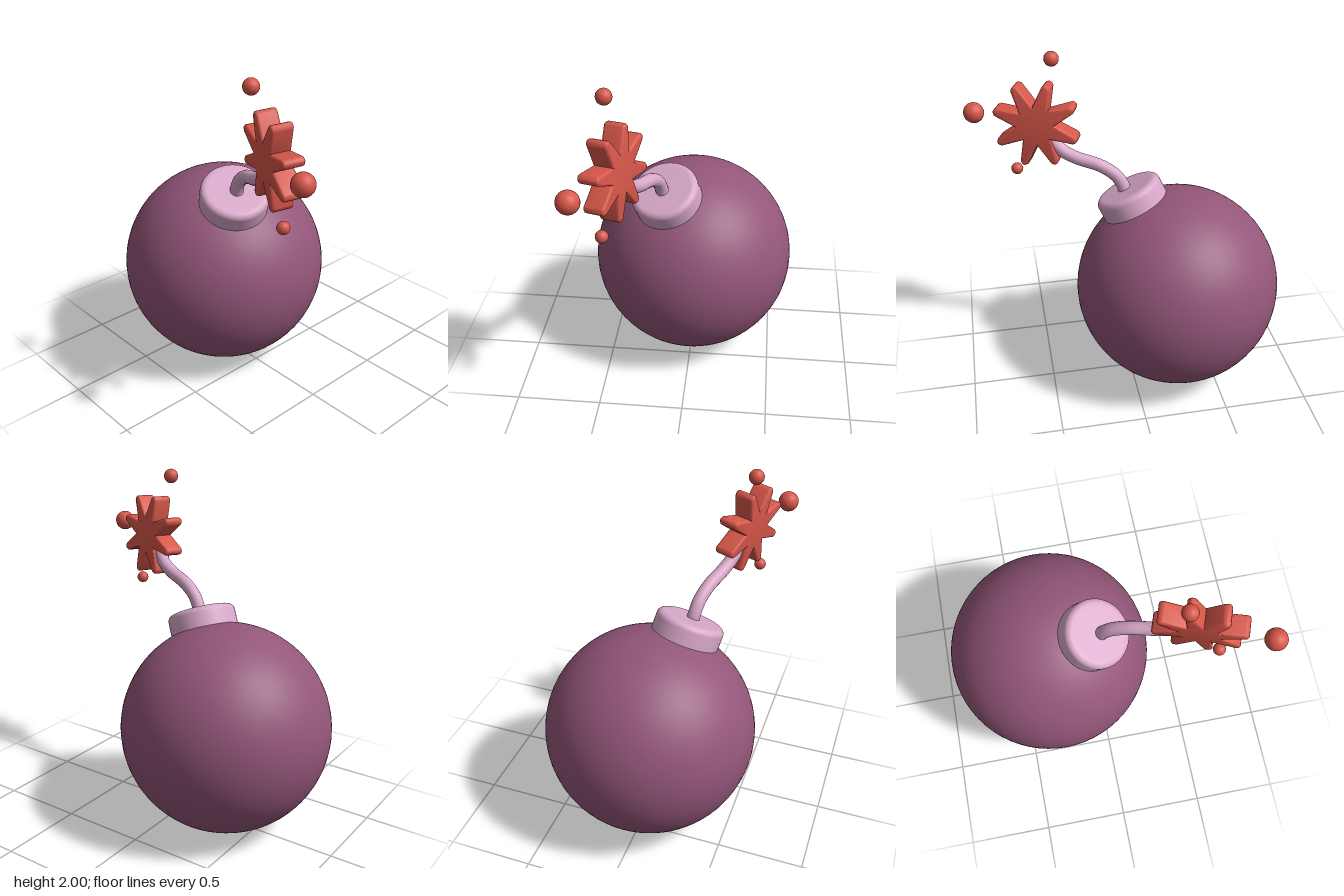
import * as THREE from 'three';
import { toCreasedNormals } from 'three/addons/utils/BufferGeometryUtils.js';

const plum = new THREE.MeshStandardMaterial({ name: 'plum', color: 0x935679 });
const pink = new THREE.MeshStandardMaterial({ name: 'pink', color: 0xd9a8c9 });
const red = new THREE.MeshStandardMaterial({ name: 'red', color: 0xd8574a });

function addPart(group, name, geometry, material, position = [0, 0, 0]) {
  const mesh = new THREE.Mesh(geometry, material);
  mesh.name = name;
  mesh.position.set(...position);
  group.add(mesh);
  return mesh;
}

// Eight blunt, rounded rays around a narrow core
function burstGeometry() {
  const rays = 8, outer = 0.25, inner = 0.115, halfTip = 0.1, depth = 0.12, bevel = 0.014;
  const at = (r, a) => [r * Math.cos(a), r * Math.sin(a)];
  const shape = new THREE.Shape();
  for (let i = 0; i < rays; i++) {
    const a = 0.305 + (i / rays) * Math.PI * 2;
    const notch = at(inner, a - Math.PI / rays);
    if (i === 0) shape.moveTo(...notch);
    else shape.lineTo(...notch);
    shape.lineTo(...at(outer - 0.012, a - halfTip));
    shape.quadraticCurveTo(...at(outer + 0.02, a), ...at(outer - 0.012, a + halfTip));
  }
  shape.closePath();
  const geometry = new THREE.ExtrudeGeometry(shape, {
    depth: depth - 2 * bevel, bevelThickness: bevel, bevelSize: bevel,
    bevelOffset: -bevel, bevelSegments: 3, curveSegments: 5,
  });
  geometry.translate(0, 0, bevel - depth / 2);
  return toCreasedNormals(geometry, 0.6);
}

export function createModel() {
  const model = new THREE.Group();
  model.name = 'bomb';

  // Round body
  const centre = new THREE.Vector3(-0.29, 0.61, 0);
  addPart(model, 'body', new THREE.SphereGeometry(0.61, 64, 48), plum, centre.toArray());

  // Collar, tilted along the line out of the body's centre
  const axis = new THREE.Vector3(0.41, 0.885, 0.22).normalize();
  const profile = [new THREE.Vector2(0.2, -0.068), new THREE.Vector2(0.2, 0), new THREE.Vector2(0.2, 0.03)];
  for (let i = 1; i <= 6; i++) {
    const a = (i / 6) * Math.PI / 2;
    profile.push(new THREE.Vector2(0.165 + 0.035 * Math.cos(a), 0.03 + 0.035 * Math.sin(a)));
  }
  profile.push(new THREE.Vector2(0.15, 0.065), new THREE.Vector2(0, 0.065));
  const collar = addPart(model, 'collar', new THREE.LatheGeometry(profile, 48), pink,
    centre.clone().addScaledVector(axis, 0.633).toArray());
  collar.quaternion.setFromUnitVectors(new THREE.Vector3(0, 1, 0), axis);

  // Curved fuse from the collar into the burst
  const path = new THREE.CatmullRomCurve3([
    [0, 1.19, 0.15], [0.015, 1.245, 0.16], [0.055, 1.307, 0.173], [0.14, 1.363, 0.2],
    [0.27, 1.403, 0.245], [0.35, 1.445, 0.277], [0.45, 1.56, 0.325],
  ].map(p => new THREE.Vector3(...p)));
  addPart(model, 'fuse', new THREE.TubeGeometry(path, 48, 0.038, 16), pink);

  // Burst, turned about the vertical and leaning slightly forward
  const burst = addPart(model, 'burst', burstGeometry(), red, [0.48, 1.597, 0.335]);
  burst.rotation.set(0.06, -0.34, 0, 'YXZ');

  // Loose sparks
  [
    [0.83, 1.625, 0.49, 0.06],
    [0.375, 1.957, 0.385, 0.043],
    [0.61, 1.293, 0.39, 0.035],
  ].forEach(([x, y, z, r], i) =>
    addPart(model, 'spark' + (i + 1), new THREE.SphereGeometry(r, 24, 16), red, [x, y, z]));

  return model;
}
